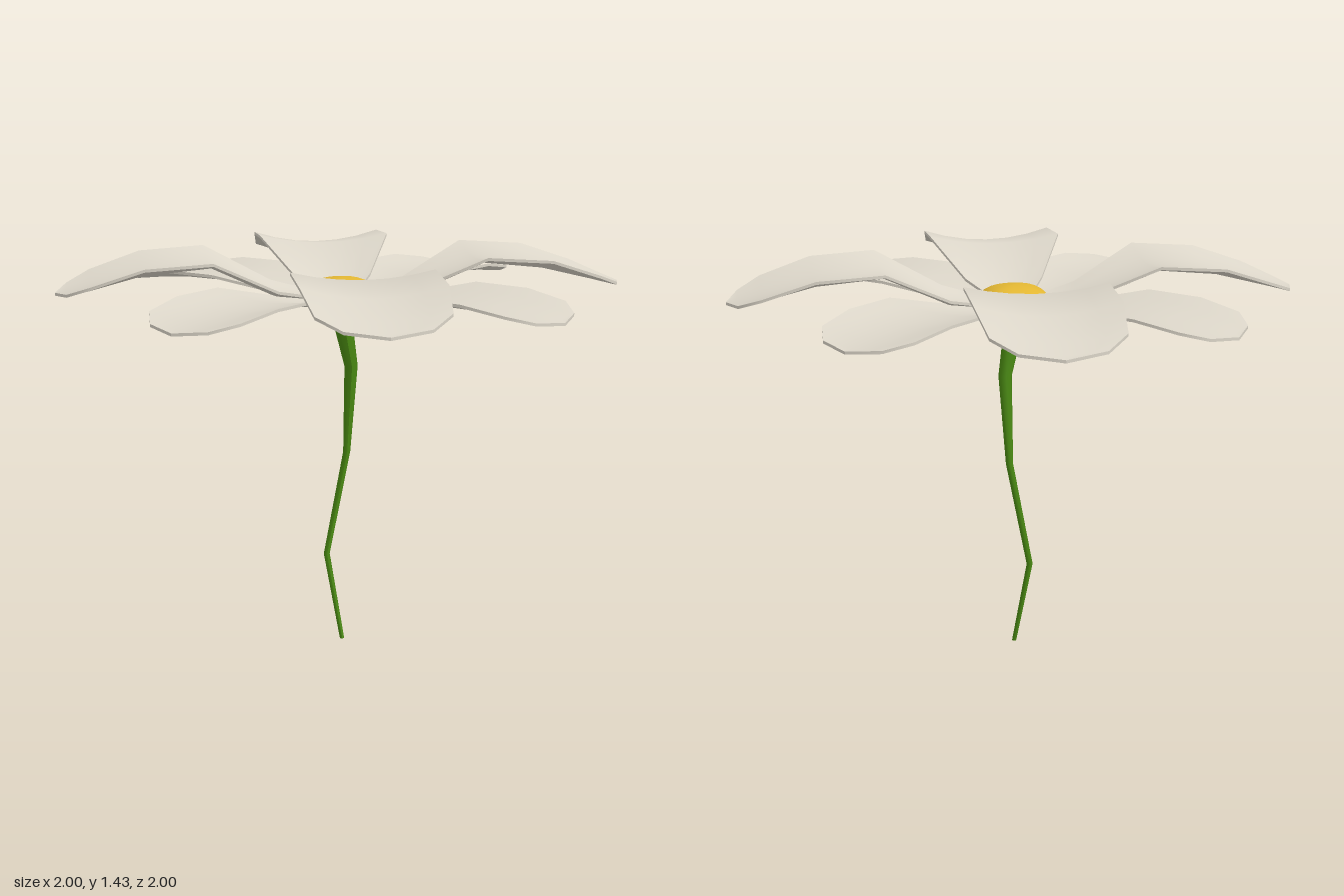
import * as THREE from 'three';

const mat = (name, color) => new THREE.MeshStandardMaterial({ name, color, side: THREE.DoubleSide });

// Petal rows: [distance from centre, half width, midrib height, edge height]
const UPPER = [
  [0.08, 0.07, 1.28, 1.285], [0.24, 0.14, 1.295, 1.32], [0.47, 0.24, 1.405, 1.435],
  [0.70, 0.238, 1.38, 1.42], [0.88, 0.215, 1.338, 1.36], [0.96, 0.138, 1.318, 1.326], [1, 0, 1.312, 1.312],
];
const LOWER = [
  [0.07, 0.06, 1.272, 1.277], [0.22, 0.126, 1.28, 1.295], [0.42, 0.216, 1.31, 1.34],
  [0.63, 0.214, 1.305, 1.338], [0.79, 0.193, 1.29, 1.312], [0.864, 0.122, 1.28, 1.288], [0.9, 0, 1.276, 1.276],
];
const COLS = 6, THICK = 0.01;

function gridGeometry(rows, flip) {
  const pos = rows.flat(2), idx = [], w = rows[0].length;
  for (let i = 0; i < rows.length - 1; i++) {
    for (let j = 0; j < w - 1; j++) {
      const a = i * w + j, b = a + w, c = a + 1, d = b + 1;
      idx.push(...(flip ? [a, c, b, c, d, b] : [a, b, c, c, b, d]));
    }
  }
  const g = new THREE.BufferGeometry();
  g.setAttribute('position', new THREE.Float32BufferAttribute(pos, 3));
  g.setIndex(idx);
  g.computeVertexNormals();
  return g;
}

// Cupped petal: upper skin, lower skin and thin rim
function makePetal(table, material) {
  const skin = (drop) => table.map(([r, hw, mid, edge]) =>
    Array.from({ length: COLS + 1 }, (_, j) => {
      const t = (j / COLS) * 2 - 1;
      return [t * hw, mid + (edge - mid) * t * t - drop, r];
    }));
  const top = skin(0), under = skin(THICK);
  const outline = (s) => [...s.map((row) => row[0]), ...s.map((row) => row[COLS]).reverse()];
  const petal = new THREE.Group();
  const parts = {
    petalTop: gridGeometry(top, false),
    petalUnderside: gridGeometry(under, true),
    petalRim: gridGeometry([outline(top), outline(under)], true),
  };
  for (const [name, g] of Object.entries(parts)) {
    const m = new THREE.Mesh(g, material);
    m.name = name;
    petal.add(m);
  }
  return petal;
}

// Tapering bent stem: [x, y, z, radius]
function makeStem(material) {
  const path = [
    [0, 0, 0, 0.008], [-0.05, 0.315, -0.045, 0.011], [0.024, 0.7, -0.045, 0.013],
    [0.036, 1.02, -0.022, 0.024], [0, 1.2, 0, 0.036],
  ];
  const rings = path.map(([x, y, z, r]) => Array.from({ length: 9 }, (_, k) => {
    const a = (k / 8) * Math.PI * 2;
    return [x + Math.sin(a) * r, y, z + Math.cos(a) * r];
  }));
  rings.unshift(rings[0].map(() => path[0].slice(0, 3)));
  const stem = new THREE.Mesh(gridGeometry(rings, true), material);
  stem.name = 'stem';
  return stem;
}

export function createModel() {
  const white = mat('petal white', 0xdcd6c9);
  const yellow = mat('pollen yellow', 0xe2b632);
  const green = mat('stem green', 0x4a8a12);
  const flower = new THREE.Group();
  flower.name = 'flower';

  flower.add(makeStem(green));

  // Eight petals, long upper ones alternating with short lower ones
  for (let i = 0; i < 8; i++) {
    const petal = makePetal(i % 2 ? LOWER : UPPER, white);
    petal.name = i % 2 ? 'lowerPetal' : 'upperPetal';
    petal.rotation.y = (i * Math.PI) / 4;
    flower.add(petal);
  }

  // Green cup with a scalloped rim
  const cup = new THREE.LatheGeometry(
    [[0, 1.187], [0.035, 1.188], [0.07, 1.205], [0.1, 1.228], [0.124, 1.258]].map((p) => new THREE.Vector2(...p)), 32);
  const cp = cup.attributes.position;
  for (let i = 0; i < cp.count; i++) {
    if (cp.getY(i) > 1.25) cp.setY(i, cp.getY(i) + 0.008 * Math.cos(8 * Math.atan2(cp.getX(i), cp.getZ(i))));
  }
  cup.computeVertexNormals();
  const calyx = new THREE.Mesh(cup, green);
  calyx.name = 'calyx';
  flower.add(calyx);

  // Rounded-square domed centre
  const dome = new THREE.SphereGeometry(1, 32, 16);
  const dp = dome.attributes.position;
  for (let i = 0; i < dp.count; i++) {
    const x = dp.getX(i), y = dp.getY(i), z = dp.getZ(i);
    const r = 0.132 - 0.008 * Math.cos(4 * Math.atan2(x, z));
    dp.setXYZ(i, x * r, 1.285 + y * (y > 0 ? 0.06 : 0.045), z * r - 0.004);
  }
  dome.computeVertexNormals();
  const centre = new THREE.Mesh(dome, yellow);
  centre.name = 'flowerCentre';
  flower.add(centre);

  return flower;
}
